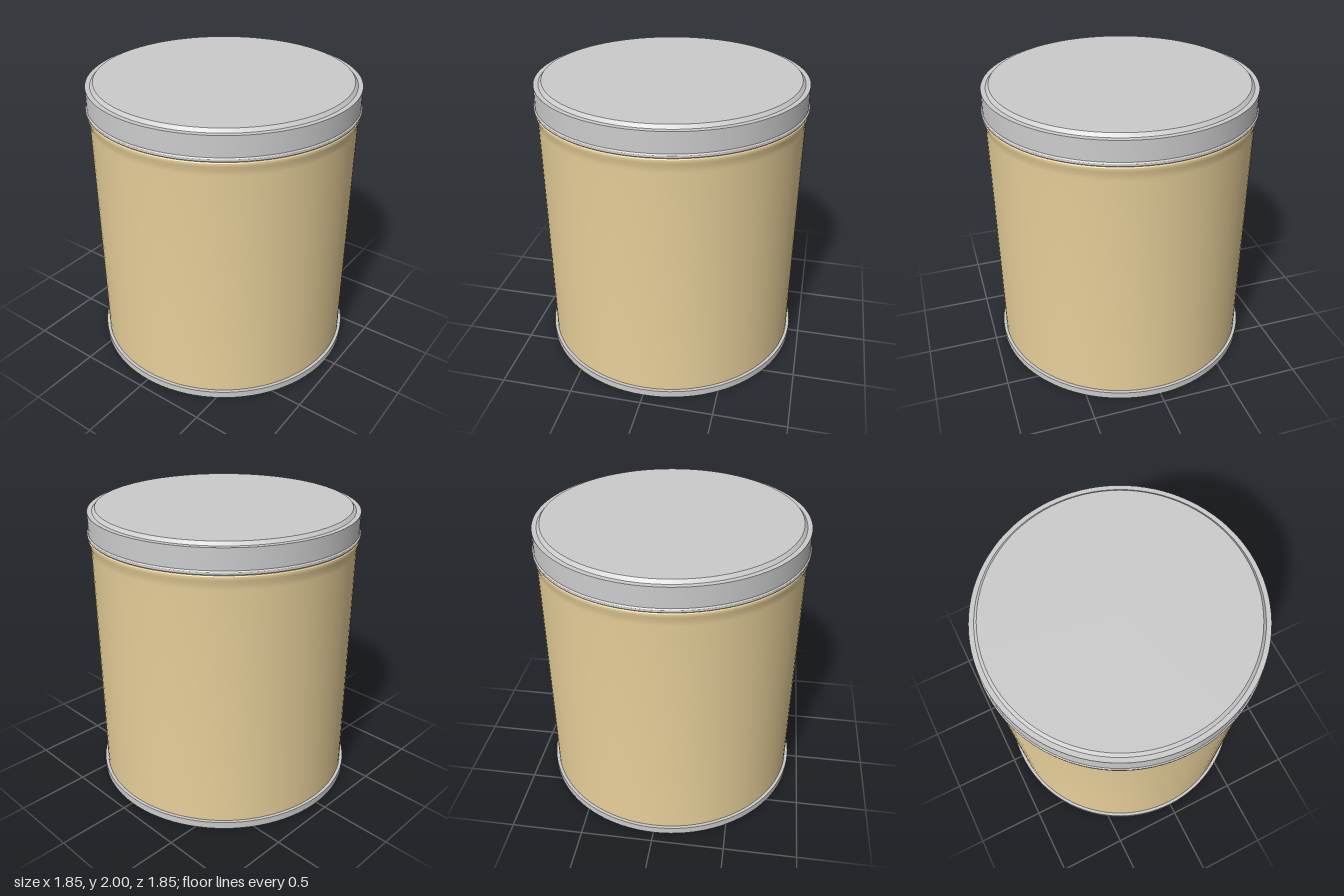
import * as THREE from 'three';
import { toCreasedNormals } from 'three/addons/utils/BufferGeometryUtils.js';

const SEGMENTS = 96;

// Round part from a [radius, height] profile, listed from bottom to top
function turned(name, profile, color) {
  const points = profile.map(([r, y]) => new THREE.Vector2(r, y));
  const geometry = toCreasedNormals(new THREE.LatheGeometry(points, SEGMENTS), 0.5);
  const mesh = new THREE.Mesh(geometry, new THREE.MeshStandardMaterial({ color }));
  mesh.name = name;
  return mesh;
}

export function createModel() {
  const tin = new THREE.Group();
  tin.name = 'tin';

  // Base hoop with a slightly recessed bottom
  tin.add(turned('base', [
    [0, 0.012], [0.912, 0.012], [0.916, 0], [0.925, 0], [0.925, 0.05], [0.903, 0.05],
  ], 0xcccccc));

  // Straight wall swelling into a shoulder under the lid
  tin.add(turned('body', [
    [0.903, 0.04], [0.903, 1.72], [0.905, 1.74], [0.909, 1.76], [0.914, 1.78],
    [0.918, 1.795], [0.917, 1.805], [0.912, 1.812], [0.9, 1.815],
  ], 0xe8d09a));

  // Lid with a rolled bead at the bottom and a raised disc on top
  tin.add(turned('lid', [
    [0.9, 1.814], [0.915, 1.814], [0.921, 1.819], [0.923, 1.827], [0.921, 1.835],
    [0.914, 1.842], [0.914, 1.85], [0.912, 1.978], [0.88, 1.978], [0.86, 2], [0, 2],
  ], 0xcccccc));

  return tin;
}
